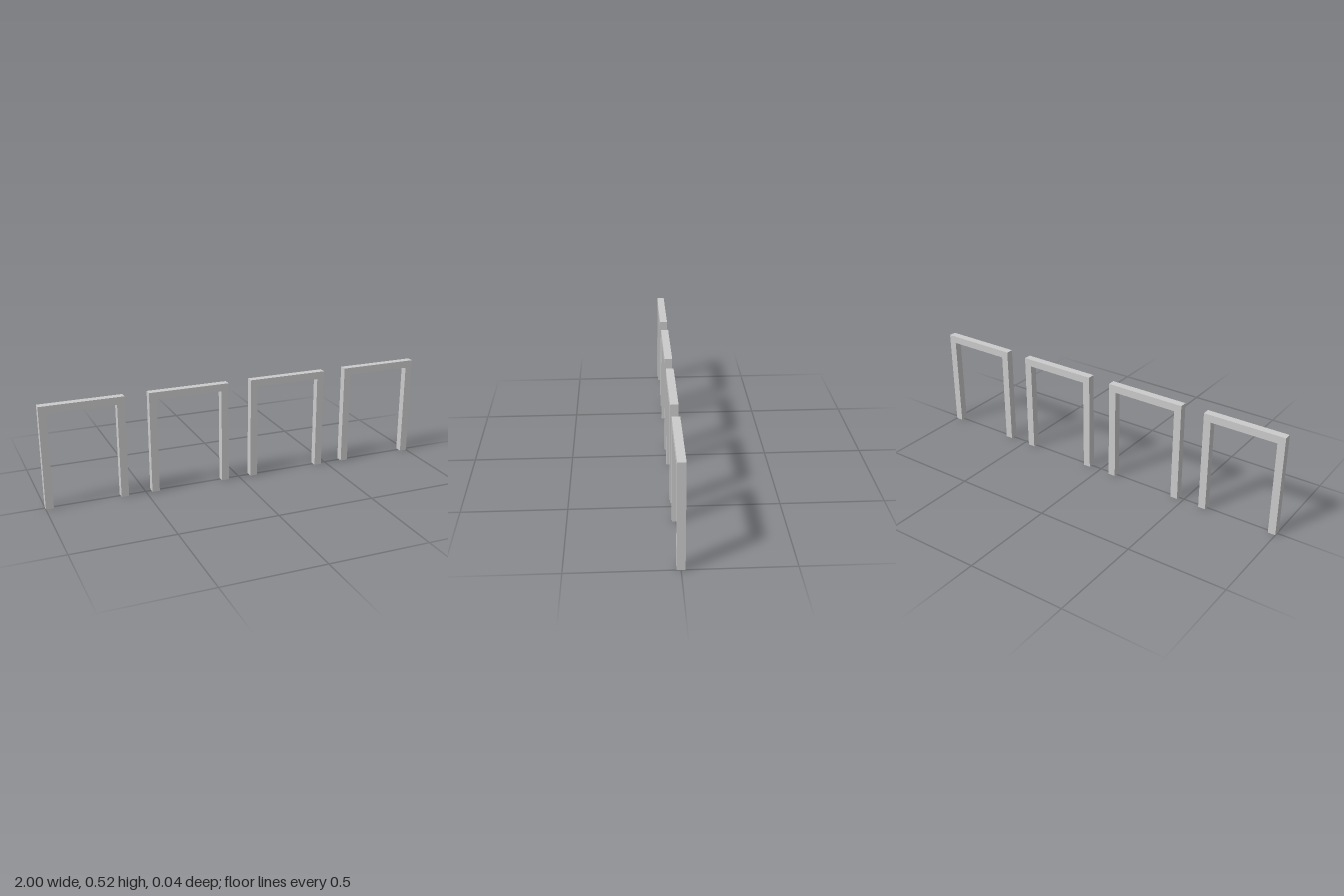
import * as THREE from 'three';

const COUNT = 4;
const WIDTH = 0.41;
const HEIGHT = 0.517;
const BAR = 0.038; // square bar thickness
const PITCH = (2 - WIDTH) / (COUNT - 1);

// Upside-down U outline, extruded to a square bar section
function hoopGeometry() {
  const o = WIDTH / 2;
  const i = o - BAR;
  const outline = [
    [-o, 0], [-i, 0], [-i, HEIGHT - BAR], [i, HEIGHT - BAR],
    [i, 0], [o, 0], [o, HEIGHT], [-o, HEIGHT],
  ];
  const shape = new THREE.Shape(outline.map(([x, y]) => new THREE.Vector2(x, y)));
  const geometry = new THREE.ExtrudeGeometry(shape, { depth: BAR, bevelEnabled: false });
  return geometry.translate(0, 0, -BAR / 2);
}

export function createModel() {
  const group = new THREE.Group();
  group.name = 'bikeRackRow';
  const material = new THREE.MeshStandardMaterial({ color: 0xcccccc });
  const geometry = hoopGeometry();

  // Evenly spaced row of identical hoops
  for (let n = 0; n < COUNT; n++) {
    const hoop = new THREE.Mesh(geometry, material);
    hoop.name = `hoop${n + 1}`;
    hoop.position.x = (n - (COUNT - 1) / 2) * PITCH;
    group.add(hoop);
  }
  return group;
}
